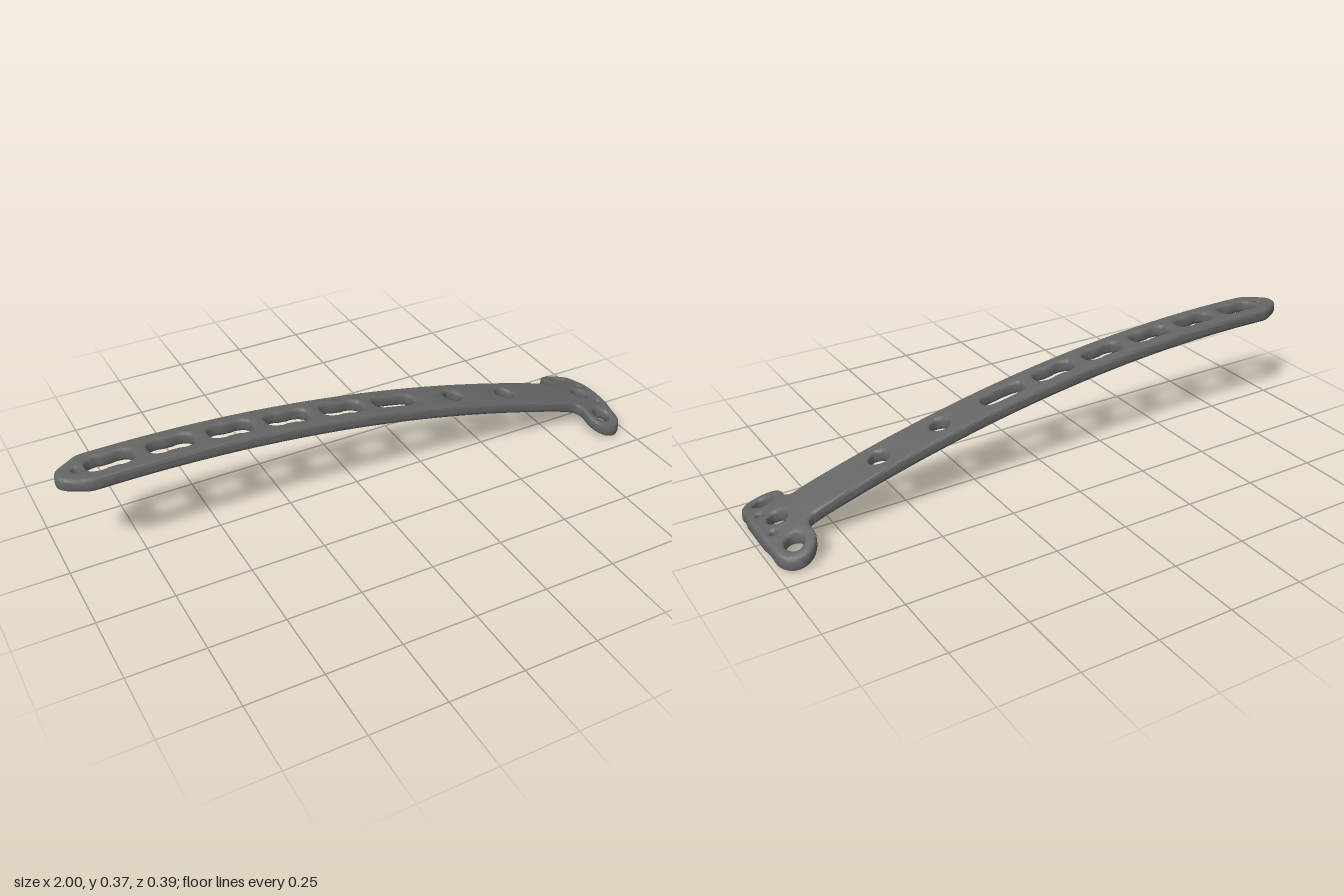
import * as THREE from 'three';
import { toCreasedNormals } from 'three/addons/utils/BufferGeometryUtils.js';

const THICK = 0.045, BEVEL = 0.012;

// Outline of the flat plate: one half is drawn, then mirrored
function plateOutline() {
  const p = new THREE.Path();
  p.moveTo(-1, 0);
  p.quadraticCurveTo(-1, 0.025, -0.975, 0.04);
  p.lineTo(-0.93, 0.067);
  p.quadraticCurveTo(-0.915, 0.076, -0.89, 0.076);
  p.lineTo(0.83, 0.076);
  p.quadraticCurveTo(0.856, 0.078, 0.857, 0.105);
  p.absarc(0.92, 0.13, 0.065, Math.PI, 0, true);
  p.quadraticCurveTo(0.985, 0.1, 0.993, 0.07);
  p.lineTo(0.995, 0);
  const half = p.getPoints(10);
  const mirrored = half.slice(1, -1).reverse().map(v => new THREE.Vector2(v.x, -v.y));
  return new THREE.Shape([...half, ...mirrored]);
}

// Superellipse hole; waist pinches the middle into a double hole
function hole(cx, cz, rx, rz, power = 1, waist = 0, n = 24) {
  const pts = [];
  const pw = v => Math.sign(v) * Math.pow(Math.abs(v), power);
  for (let i = 0; i < n; i++) {
    const t = (i + 0.5) / n * Math.PI * 2;
    const x = rx * pw(Math.cos(t));
    const pinch = 1 - waist * Math.exp(-((x / 0.017) ** 2));
    pts.push(new THREE.Vector2(cx + x, cz + rz * pw(Math.sin(t)) * pinch));
  }
  return new THREE.Path(pts);
}

// Halve the longest edge until none exceeds max, so the plate can bend smoothly
function subdivide(geo, max) {
  const src = geo.index ? geo.toNonIndexed() : geo;
  const pos = src.attributes.position, out = [];
  const halve = (a, b, c) => {
    const mid = a.clone().add(b).multiplyScalar(0.5);
    split(a, mid, c);
    split(mid, b, c);
  };
  const split = (a, b, c) => {
    const ab = a.distanceTo(b), bc = b.distanceTo(c), ca = c.distanceTo(a);
    const longest = Math.max(ab, bc, ca);
    if (longest > max) {
      if (longest === ab) halve(a, b, c);
      else if (longest === bc) halve(b, c, a);
      else halve(c, a, b);
    } else out.push(...a.toArray(), ...b.toArray(), ...c.toArray());
  };
  const at = i => new THREE.Vector3().fromBufferAttribute(pos, i);
  for (let i = 0; i < pos.count; i += 3) split(at(i), at(i + 1), at(i + 2));
  const g = new THREE.BufferGeometry();
  g.setAttribute('position', new THREE.Float32BufferAttribute(out, 3));
  return g;
}

// Height of the top surface: long bow, flatter tip, drooping head wings
function surfaceHeight(x, z) {
  const tip = Math.max(0, x - 0.88), head = THREE.MathUtils.smoothstep(x, 0.78, 0.87);
  return 0.375 - 0.1 * (x + 0.8) ** 2 + 0.9 * tip * tip - 0.9 * z * z * head;
}

export function createModel() {
  const group = new THREE.Group();
  group.name = 'bonePlate';
  const metal = new THREE.MeshStandardMaterial({ color: 0x666666 });
  metal.name = 'darkGreyMetal';

  const shape = plateOutline();
  // Double holes along the shaft
  for (let i = 0; i < 5; i++) shape.holes.push(hole(-0.833 + i * 0.1935, 0, 0.072, 0.035, 0.6, 0.32, 40));
  // Long slot and two single shaft holes
  shape.holes.push(hole(0.135, 0, 0.075, 0.031, 0.55, 0, 32));
  for (const x of [0.365, 0.58]) shape.holes.push(hole(x, 0, 0.033, 0.033, 1.2));
  // Head holes
  for (const z of [-0.13, 0, 0.13]) shape.holes.push(hole(0.92, z, 0.03, 0.03, 1.1));
  // Small wire holes
  for (const z of [-0.058, 0.058]) shape.holes.push(hole(0.957, z, 0.009, 0.009, 1, 0, 14));
  shape.holes.push(hole(-0.937, 0, 0.009, 0.012, 1, 0, 14));

  const flat = new THREE.ExtrudeGeometry(shape, {
    depth: THICK - 2 * BEVEL, bevelEnabled: true, bevelThickness: BEVEL,
    bevelSize: BEVEL, bevelOffset: -BEVEL, bevelSegments: 3, curveSegments: 10,
  });
  flat.rotateX(-Math.PI / 2);
  flat.translate(0, BEVEL - THICK, 0);

  // Bend the plate
  const bent = subdivide(flat, 0.05);
  const p = bent.attributes.position;
  for (let i = 0; i < p.count; i++) p.setY(i, p.getY(i) + surfaceHeight(p.getX(i), p.getZ(i)));
  bent.computeBoundingBox();
  const box = bent.boundingBox;
  bent.translate(-(box.min.x + box.max.x) / 2, -box.min.y, 0);

  const plate = new THREE.Mesh(toCreasedNormals(bent, 0.7), metal);
  plate.name = 'plate';
  group.add(plate);
  return group;
}
